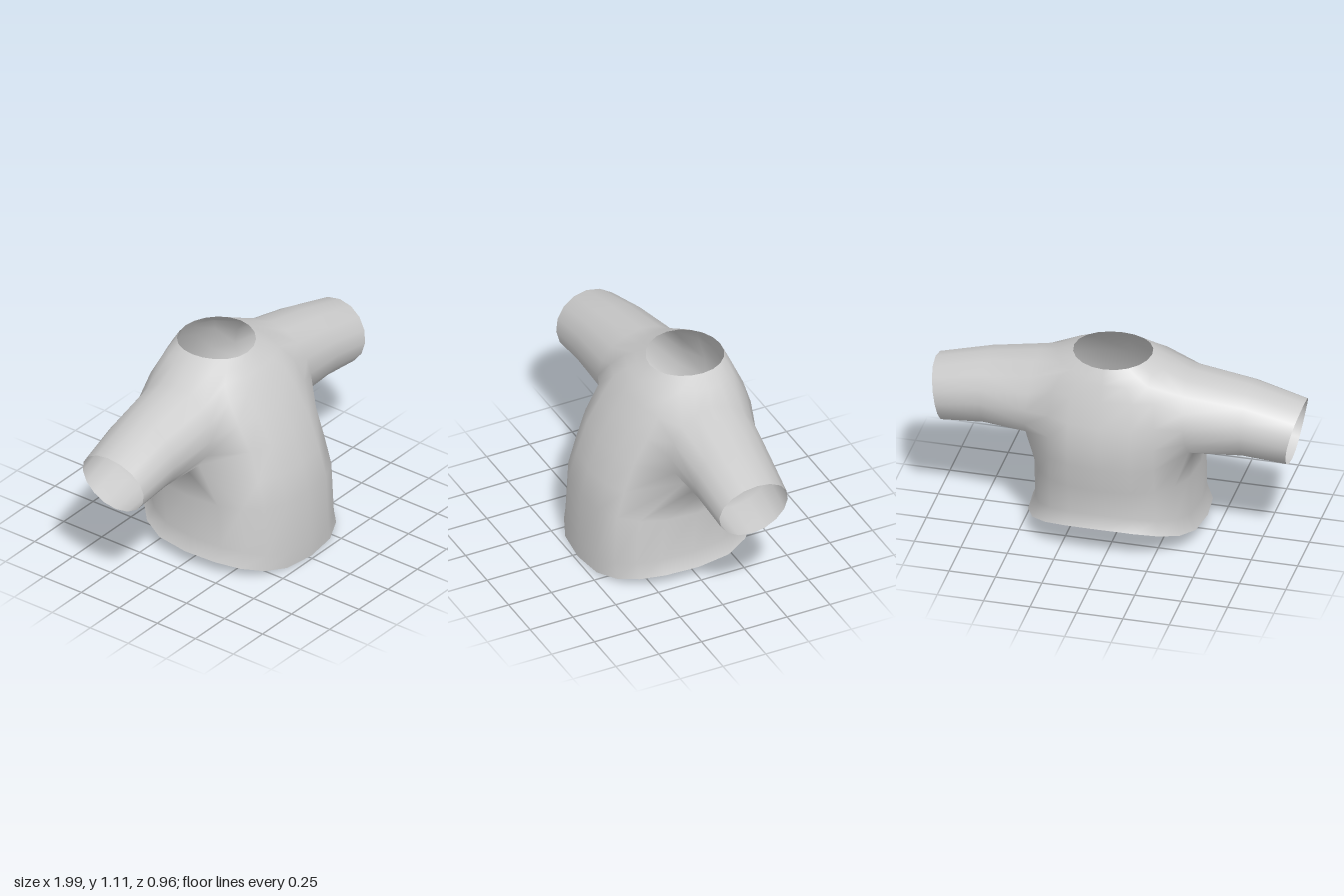
import * as THREE from 'three';

const N = 20;                       // points around the torso
const LOW = 3, HIGH = 7;            // rows (and columns) bounding the armhole

// Torso rings: y at front, side, back; z at front, back; half width
const RINGS = [
  [0.00, 0.08, 0.19, 0.48, -0.46, 0.47],
  [0.09, 0.16, 0.26, 0.48, -0.43, 0.435],
  [0.39, 0.40, 0.42, 0.465, -0.455, 0.435],
  [0.54, 0.55, 0.56, 0.42, -0.475, 0.43],
  [0.71, 0.69, 0.68, 0.36, -0.48, 0.43],
  [0.85, 0.82, 0.80, 0.275, -0.46, 0.43],
  [0.96, 0.94, 0.94, 0.20, -0.415, 0.42],
  [1.02, 1.02, 1.02, 0.14, -0.385, 0.40],
  [1.055, 1.06, 1.06, 0.10, -0.37, 0.30],
  [1.09, 1.105, 1.10, 0.06, -0.35, 0.21],
];

// Sleeve rings: x, lean of x, cuff bow, centre y, half height, centre z, half depth
const ARMHOLE = [0.425, -0.02, 0, 0.785, 0.235, -0.10, 0.25];
const SLEEVE = [
  [0.70, 0.005, 0, 0.765, 0.20, -0.0875, 0.2225],
  [0.96, 0.033, 0.012, 0.713, 0.172, -0.08, 0.20],
];

const bulge = (v, p) => Math.sign(v) * Math.abs(v) ** p;

function torsoPoint(r, k) {
  const [yf, ys, yb, zf, zb, w] = RINGS[r];
  const a = (k / N) * Math.PI * 2, c = Math.cos(a), p = r > 6 ? 1 : 0.8;
  return [
    0.02 + w * bulge(Math.sin(a), p),
    ys + ((c > 0 ? yf : yb) - ys) * c * c,
    (zf + zb) / 2 + ((zf - zb) / 2) * bulge(c, p),
  ];
}

// Point i of 16 on a sleeve ring, starting at the lower front
function sleevePoint([x, lean, bow, cy, ry, cz, rz], i, side, shift) {
  const a = -Math.PI / 4 - (i * Math.PI) / 8, c = Math.cos(a), s = Math.sin(a);
  return [side * (x + lean * s - bow * c * c) + shift, cy + ry * s, cz + rz * c];
}

// Row and column of armhole point i in the torso grid
function armholeCell(i) {
  const e = Math.floor(i / 4), t = i % 4;
  return [[LOW, LOW + t], [LOW + t, HIGH], [HIGH, HIGH - t], [HIGH - t, LOW]][e];
}

function shirtGeometry() {
  const points = [], index = [];
  const quad = (a, b, c, d, flip) =>
    index.push(...(flip ? [a, c, b, a, d, c] : [a, b, c, a, c, d]));
  const id = (r, k) => r * N + ((k + N) % N);
  const inHole = (r, k) => r >= LOW && r < HIGH &&
    ((k >= LOW && k < HIGH) || (k >= N - HIGH && k < N - LOW));

  // Torso, left open at the armholes, neck and hem
  for (let r = 0; r < RINGS.length; r++)
    for (let k = 0; k < N; k++) points.push(torsoPoint(r, k));
  for (let r = 0; r < RINGS.length - 1; r++)
    for (let k = 0; k < N; k++)
      if (!inHole(r, k)) quad(id(r, k), id(r, k + 1), id(r + 1, k + 1), id(r + 1, k));

  // Sleeves, grown from the rounded armhole edges
  for (const side of [1, -1]) {
    let ring = [];
    for (let i = 0; i < 16; i++) {
      const [r, k] = armholeCell(i);
      ring.push(id(r, side * k));
      points[ring[i]] = sleevePoint(ARMHOLE, i, side, 0.02);
    }
    for (const section of SLEEVE) {
      const next = [];
      for (let i = 0; i < 16; i++)
        next.push(points.push(sleevePoint(section, i, side, 0)) - 1);
      for (let i = 0; i < 16; i++) {
        const j = (i + 1) % 16;
        quad(ring[i], ring[j], next[j], next[i], side < 0);
      }
      ring = next;
    }
  }

  // Drop the grid points that fall inside the armholes
  const used = [...new Set(index)], remap = new Map(used.map((v, i) => [v, i]));
  const geometry = new THREE.BufferGeometry();
  geometry.setAttribute('position',
    new THREE.Float32BufferAttribute(used.flatMap((v) => points[v]), 3));
  geometry.setIndex(index.map((v) => remap.get(v)));
  geometry.computeVertexNormals();
  return geometry;
}

export function createModel() {
  const group = new THREE.Group();
  group.name = 'shortSleevedShirt';
  const cloth = new THREE.MeshStandardMaterial({ color: 0xcccccc, side: THREE.DoubleSide });
  const shirt = new THREE.Mesh(shirtGeometry(), cloth);
  shirt.name = 'shirtBodyAndSleeves';
  group.add(shirt);
  return group;
}
